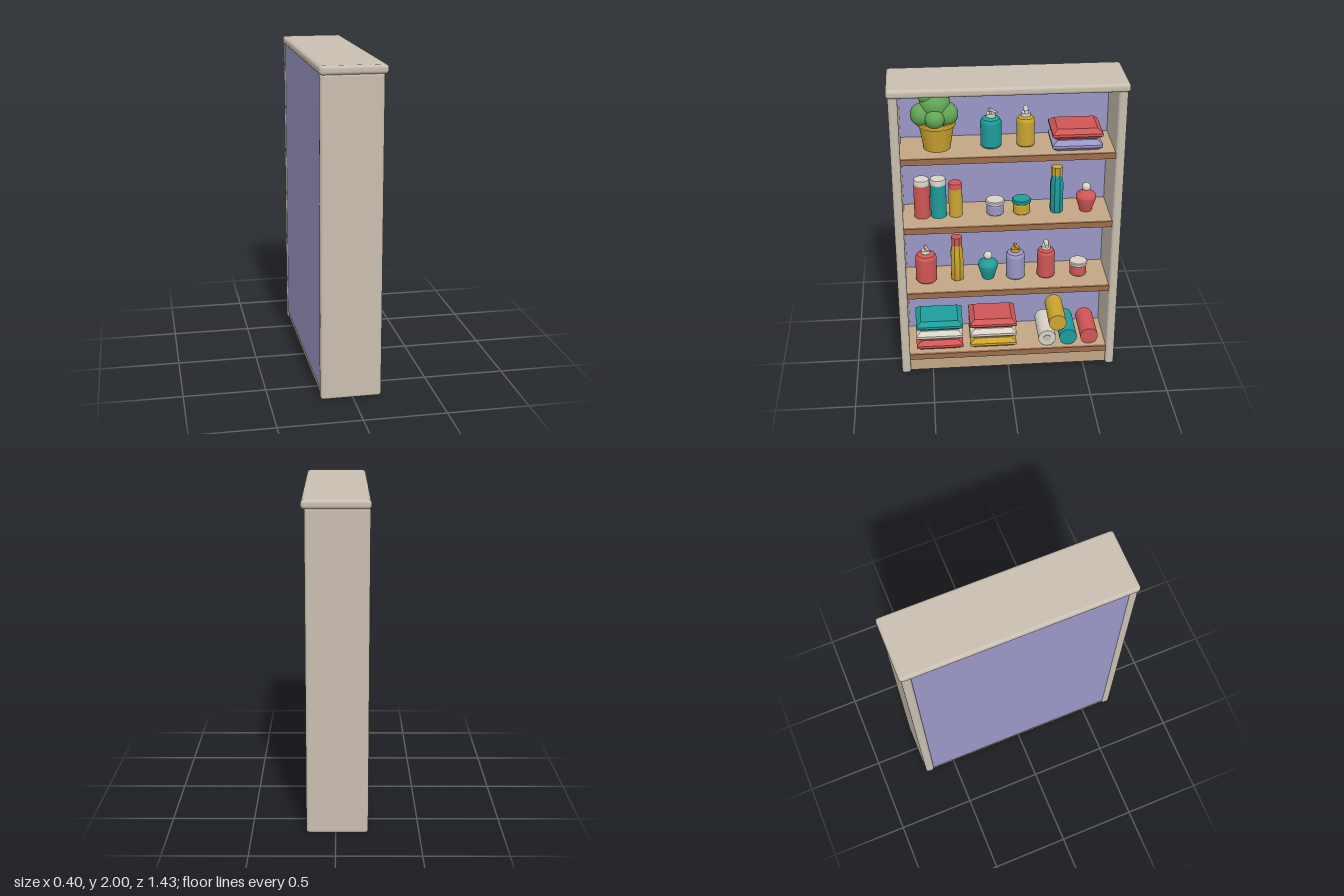
import * as THREE from 'three';
import { RoundedBoxGeometry } from 'three/addons/geometries/RoundedBoxGeometry.js';
import { toCreasedNormals } from 'three/addons/utils/BufferGeometryUtils.js';

const mat = (name, color) => Object.assign(new THREE.MeshStandardMaterial({ color }), { name });
const M = {
  body: mat('warm grey paint', 0xc9beb0),
  lavender: mat('lavender', 0x9a96c6),
  teal: mat('teal', 0x1f9c9c),
  red: mat('coral red', 0xd05656),
  gold: mat('mustard', 0xcba430),
  green: mat('leaf green', 0x62a556),
  wood: mat('light wood', 0xc2a585),
  edge: mat('brown wood', 0x9c6e4c),
  cream: mat('cream', 0xd8d2c6),
};

export function createModel() {
  const root = new THREE.Group();
  root.name = 'stockedBookcase';

  const add = (parent, name, geo, m, x = 0, y = 0, z = 0) => {
    const mesh = new THREE.Mesh(geo, m);
    mesh.name = name;
    mesh.position.set(x, y, z);
    parent.add(mesh);
    return mesh;
  };
  const group = (name, x, y, z) => {
    const g = new THREE.Group();
    g.name = name;
    g.position.set(x, y, z);
    root.add(g);
    return g;
  };
  // Box given by its limits on each axis
  const slab = (name, m, [x0, x1], [y0, y1], [z0, z1], r = 0) => {
    const s = [x1 - x0, y1 - y0, z1 - z0];
    const geo = r ? new RoundedBoxGeometry(...s, 3, r) : new THREE.BoxGeometry(...s);
    return add(root, name, geo, m, (x0 + x1) / 2, (y0 + y1) / 2, (z0 + z1) / 2);
  };
  // Turned shape with crisp edges between its profile bands
  const turned = (pts, sides = 28) => {
    const geo = new THREE.LatheGeometry(pts.map(p => new THREE.Vector2(...p)), sides);
    return toCreasedNormals(geo, 0.42);
  };
  const X = -0.01; // depth line on which the goods stand

  // Carcass
  slab('topSlab', M.body, [-0.2, 0.195], [1.947, 2], [-0.715, 0.715], 0.02);
  for (const s of [1, -1]) {
    slab('sidePanel', M.body, [-0.195, 0.175], [0, 1.955], s > 0 ? [0.648, 0.705] : [-0.705, -0.648], 0.018);
  }
  slab('backPanel', M.lavender, [-0.19, -0.17], [0.05, 1.95], [-0.65, 0.65]);
  slab('plinth', M.wood, [-0.185, 0.15], [0.01, 0.102], [-0.65, 0.65]);

  // Shelves with brown front lipping
  const floors = [0.14, 0.61, 1.08, 1.55];
  for (const y of floors) {
    slab('shelfBoard', M.wood, [-0.172, 0.15], [y - 0.036, y], [-0.65, 0.65]);
    slab('shelfLipping', M.edge, [0.15, 0.168], [y - 0.038, y + 0.001], [-0.648, 0.648]);
  }

  // Pump bottle: round body, collar, stem and spout
  const pump = (y, z, r, h, color, top, ball, turn) => {
    const g = group('pumpBottle', X, y, z);
    add(g, 'bottleBody', turned([[0, 0], [r - 0.006, 0], [r, 0.008], [r, h], [r * 0.84, h + 0.018],
      [r * 0.5, h + 0.028], [0, h + 0.028]]), color);
    add(g, 'pumpCollar', new THREE.CylinderGeometry(0.028, 0.03, 0.024, 20), top, 0, h + 0.038);
    add(g, 'pumpStem', new THREE.CylinderGeometry(0.009, 0.009, 0.04, 12), top, 0, h + 0.06);
    const head = new THREE.Group();
    head.name = 'pumpHead';
    head.position.y = h + 0.068;
    head.rotation.y = turn;
    g.add(head);
    const nr = ball ? 0.016 : 0.009;
    const spout = add(head, 'pumpSpout', new THREE.CylinderGeometry(nr * 0.8, nr, 0.075, 14), top, 0.022, 0.003);
    spout.rotation.z = -Math.PI / 2;
  };

  // Straight canister with a domed cap
  const can = (y, z, r, h, color, cap) => {
    const g = group('canister', X, y, z);
    add(g, 'canBody', new THREE.CylinderGeometry(r, r, h - 0.04, 28), color, 0, (h - 0.04) / 2);
    add(g, 'canCap', turned([[r, h - 0.04], [r, h - 0.016], [r * 0.93, h - 0.005], [r * 0.75, h], [0, h]]), cap);
  };

  // Squat jar with a wider lid
  const jar = (y, z, color, lid) => {
    const g = group('jar', X, y, z);
    add(g, 'jarBody', turned([[0, 0], [0.048, 0], [0.054, 0.006], [0.054, 0.062], [0.048, 0.074], [0, 0.074]]), color);
    add(g, 'jarLid', turned([[0, 0.072], [0.056, 0.072], [0.06, 0.076], [0.06, 0.092], [0.054, 0.098], [0, 0.098]]), lid);
  };

  // Tall eight-sided bottle
  const tall = (y, z, color, cap) => {
    const g = group('tallBottle', X, y, z);
    const body = add(g, 'tallBody', turned([[0, 0], [0.04, 0], [0.043, 0.012], [0.043, 0.2], [0.032, 0.255], [0, 0.255]], 8), color);
    const lid = add(g, 'tallCap', toCreasedNormals(new THREE.CylinderGeometry(0.036, 0.036, 0.055, 8), 0.3), cap, 0, 0.282);
    body.rotation.y = lid.rotation.y = Math.PI / 8;
  };

  // Flask with a ball stopper
  const flask = (y, z, color) => {
    const g = group('flask', X, y, z);
    add(g, 'flaskBody', turned([[0, 0], [0.038, 0], [0.05, 0.04], [0.064, 0.085], [0.065, 0.1], [0.058, 0.115],
      [0.03, 0.138], [0.024, 0.145], [0, 0.145]]), color);
    add(g, 'flaskStopper', new THREE.SphereGeometry(0.028, 20, 14), M.cream, 0, 0.161);
  };

  // Folded cloth: a box pinched towards its top and bottom
  const cloth = (y, z, color) => {
    const geo = new THREE.BoxGeometry(0.25, 0.068, 0.306, 1, 3, 1);
    const p = geo.attributes.position;
    for (let i = 0; i < p.count; i++) {
      if (Math.abs(p.getY(i)) > 0.03) {
        p.setX(i, p.getX(i) - Math.sign(p.getX(i)) * 0.03);
        p.setZ(i, p.getZ(i) - Math.sign(p.getZ(i)) * 0.032);
      } else p.setY(i, Math.sign(p.getY(i)) * 0.008);
    }
    add(root, 'foldedCloth', toCreasedNormals(geo, 0.3), color, 0.015, y + 0.035, z);
  };
  const stack = (y, z, colors) => colors.forEach((c, i) => cloth(y + i * 0.074, z, c));

  // Rolled cloth lying front to back
  const roll = (y, z, color) => {
    const mesh = add(root, 'rolledCloth', new THREE.CylinderGeometry(0.058, 0.058, 0.26, 28), color, 0, y, z);
    mesh.rotation.z = -Math.PI / 2;
    return mesh;
  };

  // Top shelf: plant, two pump bottles, cloths
  const plant = group('pottedPlant', X, floors[3], 0.424);
  add(plant, 'pot', turned([[0, 0], [0.082, 0], [0.107, 0.15], [0.116, 0.152], [0.116, 0.18], [0.1, 0.18], [0.095, 0.165], [0, 0.165]]), M.gold);
  const leaves = [[0.02, 0.225, 0.087, 0.07], [0.02, 0.225, -0.06, 0.073], [0, 0.28, 0.006, 0.094],
    [0, 0.34, 0.043, 0.064], [0.075, 0.215, 0.01, 0.06], [-0.07, 0.225, 0.01, 0.07]];
  for (const [x, y, z, r] of leaves) {
    add(plant, 'leafBall', new THREE.SphereGeometry(r, 22, 16), M.green, x, y, z);
  }
  pump(floors[3], 0.095, 0.064, 0.162, M.teal, M.cream, false, 0.6);
  pump(floors[3], -0.117, 0.056, 0.162, M.gold, M.cream, true, 0);
  stack(floors[3], -0.42, [M.lavender, M.red]);

  // Second shelf: canisters, jars, tall bottle, flask
  can(floors[2], 0.53, 0.05, 0.262, M.red, M.cream);
  can(floors[2], 0.427, 0.05, 0.262, M.teal, M.cream);
  can(floors[2], 0.32, 0.043, 0.23, M.gold, M.red);
  jar(floors[2], 0.072, M.lavender, M.cream);
  jar(floors[2], -0.095, M.gold, M.teal);
  tall(floors[2], -0.317, M.teal, M.gold);
  flask(floors[2], -0.505, M.red);

  // Third shelf: pump bottles, tall bottle, flask, jar
  pump(floors[1], 0.52, 0.068, 0.172, M.red, M.cream, false, 0.3);
  tall(floors[1], 0.32, M.gold, M.red);
  flask(floors[1], 0.12, M.teal);
  pump(floors[1], -0.058, 0.062, 0.16, M.lavender, M.gold, false, 0.3);
  pump(floors[1], -0.257, 0.058, 0.17, M.red, M.cream, true, 0);
  jar(floors[1], -0.47, M.red, M.cream);

  // Bottom shelf: cloth stacks and rolls
  stack(floors[0], 0.45, [M.red, M.cream, M.teal]);
  stack(floors[0], 0.097, [M.gold, M.cream, M.red]);
  roll(0.199, -0.26, M.cream);
  roll(0.199, -0.4, M.teal);
  roll(0.199, -0.54, M.red);
  roll(0.314, -0.328, M.gold);
  const core = add(root, 'rollCore', new THREE.CylinderGeometry(0.024, 0.024, 0.004, 20), M.body, 0.131, 0.199, -0.26);
  core.rotation.z = -Math.PI / 2;

  return root;
}
